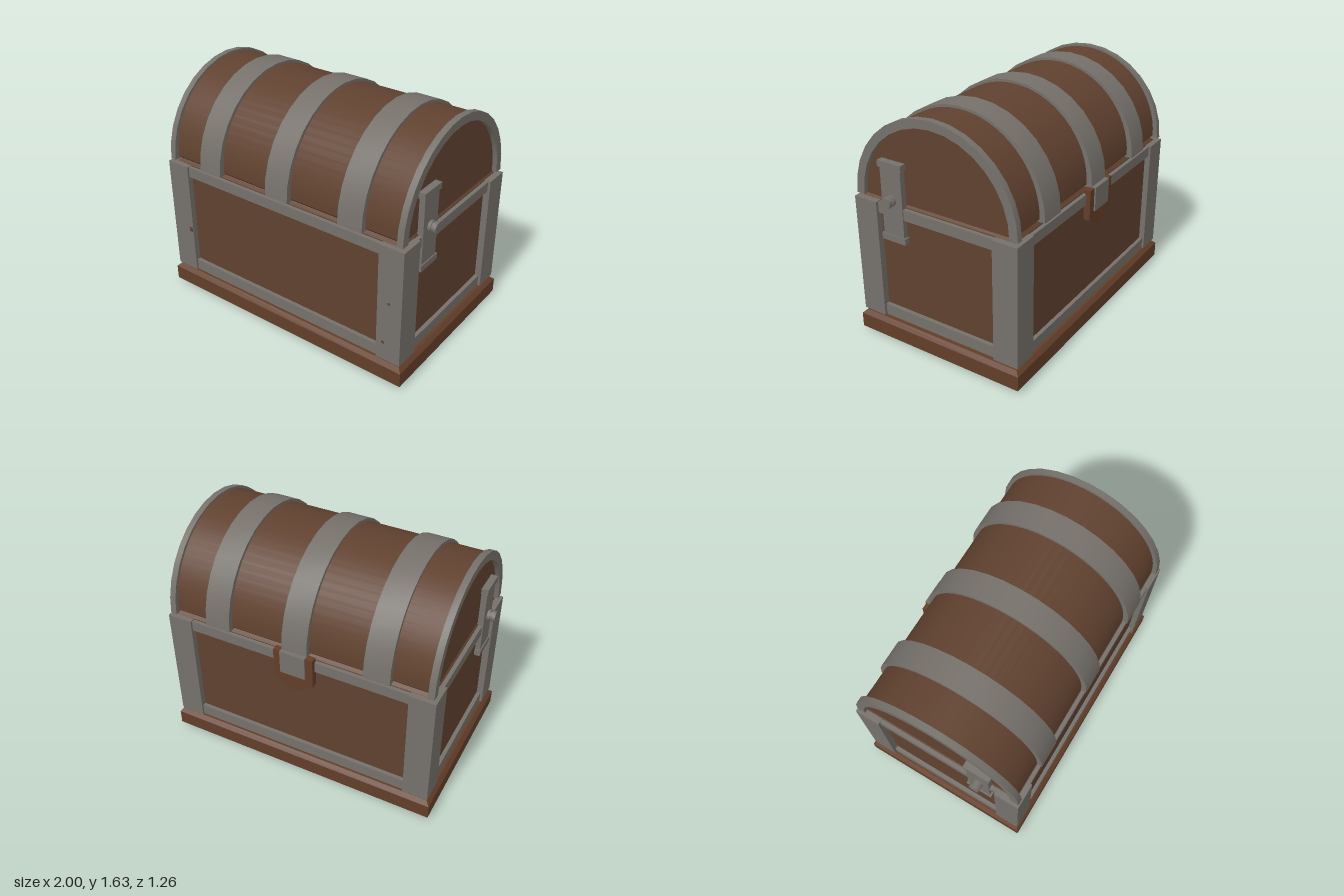
import * as THREE from 'three';
import { toCreasedNormals } from 'three/addons/utils/BufferGeometryUtils.js';

const material = (name, color) => {
  const m = new THREE.MeshStandardMaterial({ color });
  m.name = name;
  return m;
};

export function createModel() {
  const wood = material('wood', 0x60412f);
  const redWood = material('red wood', 0x623d28);
  const iron = material('iron', 0x75706a);
  const chest = new THREE.Group();
  chest.name = 'chest';

  const add = (name, geometry, mat, x = 0, y = 0, z = 0) => {
    const mesh = new THREE.Mesh(geometry, mat);
    mesh.name = name;
    mesh.position.set(x, y, z);
    chest.add(mesh);
    return mesh;
  };

  // Box given by its lower and upper corners
  const box = (name, mat, x0, x1, y0, y1, z0, z1) =>
    add(name, new THREE.BoxGeometry(Math.abs(x1 - x0), y1 - y0, Math.abs(z1 - z0)), mat,
      (x0 + x1) / 2, (y0 + y1) / 2, (z0 + z1) / 2);

  // Block with every edge chamfered by c
  const chamferedBlock = (name, mat, hx, y0, y1, hz, c) => {
    const x = hx - c, z = hz - c;
    const shape = new THREE.Shape([
      [-x, -z], [x, -z], [x, z], [-x, z],
    ].map(p => new THREE.Vector2(...p)));
    const g = new THREE.ExtrudeGeometry(shape, {
      depth: y1 - y0 - 2 * c, bevelSize: c, bevelThickness: c, bevelSegments: 1,
    });
    g.rotateX(-Math.PI / 2).translate(0, c, 0);
    return add(name, g, mat, 0, y0, 0);
  };

  // Half circle points across z and y
  const arc = (r, n = 16) => Array.from({ length: n + 1 }, (_, i) =>
    new THREE.Vector2(r * Math.cos(Math.PI * i / n), r * Math.sin(Math.PI * i / n)));

  // Arched section swept along x
  const arch = (name, mat, points, x0, x1, y) => {
    const g = new THREE.ExtrudeGeometry(new THREE.Shape(points), { depth: x1 - x0, bevelEnabled: false });
    g.rotateY(Math.PI / 2);
    return add(name, toCreasedNormals(g, 0.5), mat, x0, y, 0);
  };
  const hoop = (name, x0, x1, outer, inner) =>
    arch(name, iron, [...arc(outer), ...arc(inner).reverse()], x0, x1, 1.025);

  // Plinth and body
  chamferedBlock('plinth', redWood, 0.975, 0, 0.155, 0.625, 0.026);
  chamferedBlock('body', wood, 0.91, 0.15, 1.028, 0.57, 0.022);

  // Corner posts and rails
  for (const sx of [-1, 1]) {
    for (const sz of [-1, 1])
      box('cornerPost', iron, sx * 0.78, sx * 0.955, 0.17, 1.005, sz * 0.435, sz * 0.61);
    for (const [y0, y1] of [[0.17, 0.25], [0.927, 1.0]])
      box('sideRail', iron, sx * 0.88, sx * 0.937, y0, y1, -0.44, 0.44);
  }
  for (const sz of [-1, 1])
    for (const [y0, y1] of [[0.17, 0.25], [0.927, 1.0]])
      box('longRail', iron, -0.785, 0.785, y0, y1, sz * 0.55, sz * 0.596);

  // Barrel lid with a chamfered underside
  const lidTop = arc(0.568, 32);
  arch('lid', wood, [new THREE.Vector2(0.55, -0.02), ...lidTop, new THREE.Vector2(-0.55, -0.02)], -0.905, 0.905, 1.045);
  for (const x of [-0.565, 0, 0.565]) hoop('lidBand', x - 0.089, x + 0.089, 0.607, 0.55);
  hoop('lidRim', -0.937, -0.895, 0.603, 0.545);
  hoop('lidRim', 0.895, 0.937, 0.603, 0.545);

  // Side plates with pins
  for (const s of [-1, 1]) {
    box('sidePlate', iron, s * 0.895, s * 0.944, 0.78, 1.28, 0.232, 0.392);
    for (const y of [0.76, 1.255])
      box('plateCap', iron, s * 0.895, s * 0.951, y, y + 0.043, 0.22, 0.405);
    for (const [name, r, x, length] of [['pinCollar', 0.037, 0.953, 0.022], ['pinShaft', 0.03, 0.966, 0.03], ['pinHead', 0.037, 0.986, 0.028]]) {
      const g = new THREE.CylinderGeometry(r, r, length, 12).rotateZ(Math.PI / 2);
      add(name, toCreasedNormals(g, 0.6), iron, s * x, 1.045, 0.315);
    }
  }

  // Rear clasp: pointed backing plate and strap
  const plate = new THREE.Shape([
    [-0.14, 1.03], [-0.14, 0.82], [0, 0.735], [0.14, 0.82], [0.14, 1.03],
  ].map(p => new THREE.Vector2(...p)));
  add('claspPlate', new THREE.ExtrudeGeometry(plate, { depth: 0.045, bevelEnabled: false }), redWood, 0, 0, -0.625);
  box('claspStrap', iron, -0.089, 0.089, 0.87, 1.035, -0.635, -0.58);

  // Small worn spots on the front posts
  for (const [x, y, w, h] of [[-0.8, 0.505, 0.028, 0.034], [0.865, 0.61, 0.015, 0.015], [0.83, 0.305, 0.022, 0.018]])
    box('wornSpot', wood, x - w / 2, x + w / 2, y - h / 2, y + h / 2, 0.608, 0.612);

  return chest;
}
